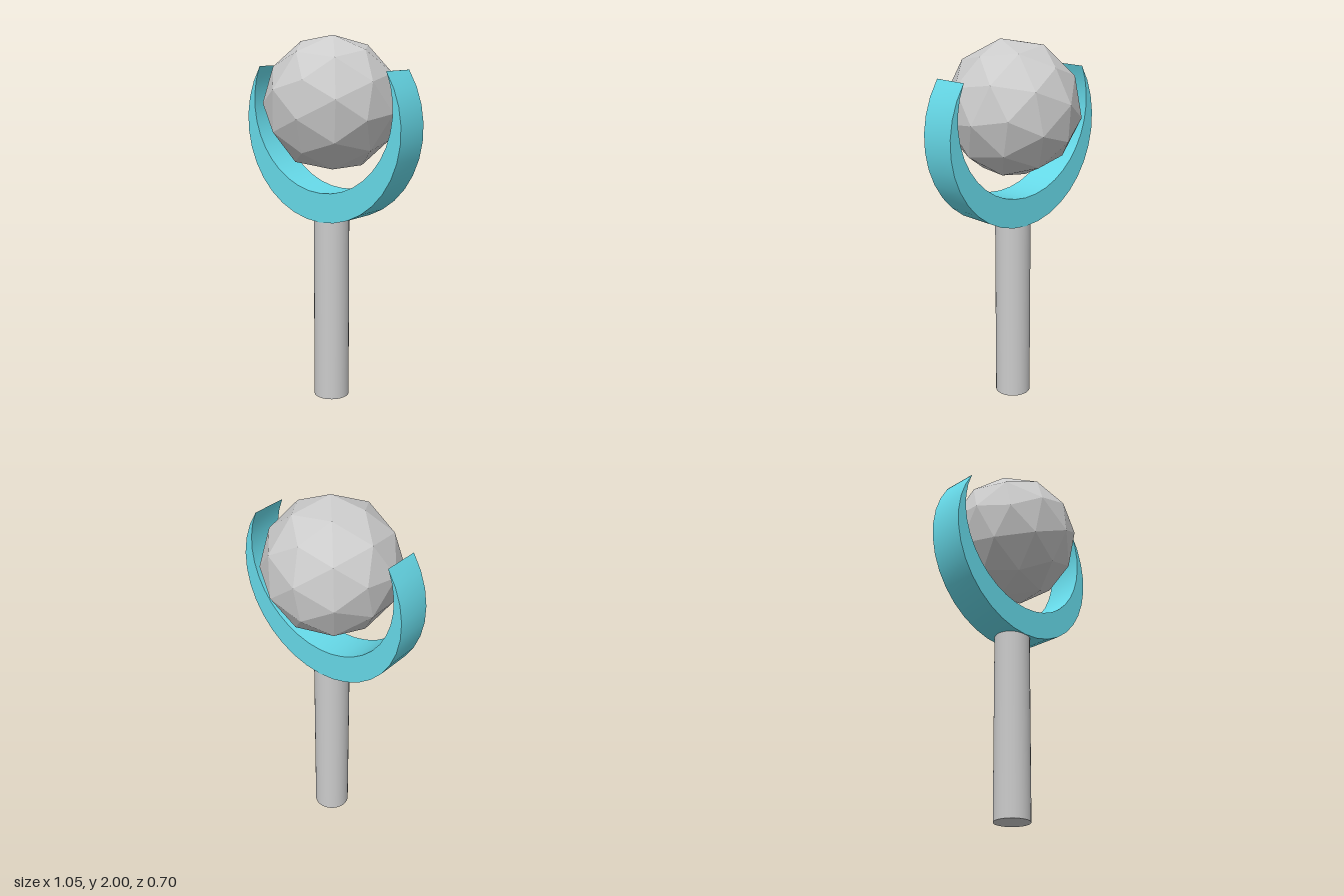
import * as THREE from 'three';
import { toCreasedNormals } from 'three/addons/utils/BufferGeometryUtils.js';

function addPart(group, name, geometry, material) {
  const mesh = new THREE.Mesh(geometry, material);
  mesh.name = name;
  group.add(mesh);
  return mesh;
}

// Crescent outline: a large outer arc and a higher, smaller inner arc meeting in sharp tips
function crescentGeometry() {
  const outerR = 0.52, outerY = 1.53, innerR = 0.468, innerY = 1.638, depth = 0.2;
  const tip = THREE.MathUtils.degToRad(35);
  const tipX = outerR * Math.cos(tip), tipY = outerY + outerR * Math.sin(tip);
  const innerTip = Math.atan2(tipY - innerY, tipX);
  const shape = new THREE.Shape();
  shape.absarc(0, outerY, outerR, Math.PI - tip, 2 * Math.PI + tip, false);
  shape.absarc(0, innerY, innerR, innerTip, -Math.PI - innerTip, true);
  const geometry = new THREE.ExtrudeGeometry(shape, { depth, bevelEnabled: false, curveSegments: 12 });
  geometry.translate(0, 0, -depth / 2);
  return toCreasedNormals(geometry, Math.PI / 5);
}

export function createModel() {
  const model = new THREE.Group();
  model.name = 'orbStaff';
  const grey = new THREE.MeshStandardMaterial({ color: 0xcccccc });
  const facetedGrey = new THREE.MeshStandardMaterial({ color: 0xcccccc, flatShading: true });
  const cyan = new THREE.MeshStandardMaterial({ color: 0x66d9e8 });

  // Round shaft
  const shaftHeight = 1.02;
  addPart(model, 'shaft', new THREE.CylinderGeometry(0.097, 0.097, shaftHeight, 32), grey)
    .position.y = shaftHeight / 2;

  // Crescent cradle, turned slightly on the shaft
  addPart(model, 'crescent', crescentGeometry(), cyan).rotation.y = 0.1;

  // Faceted orb floating inside the crescent
  const orb = addPart(model, 'orb', new THREE.IcosahedronGeometry(0.365, 1), facetedGrey);
  orb.position.y = 1.641;
  orb.rotation.set(0.151, 0.268, -0.145);

  return model;
}
